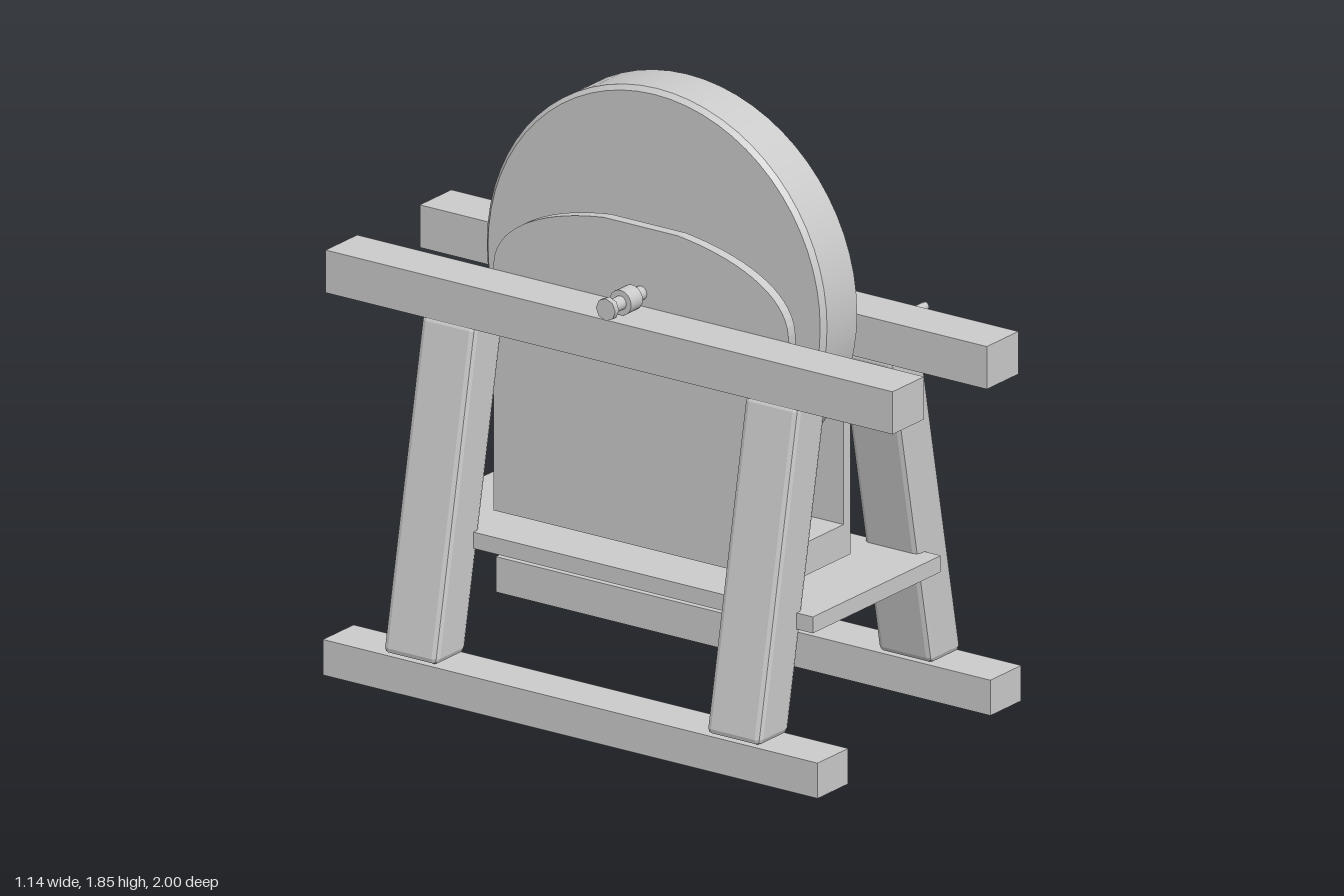
import * as THREE from 'three';
import { RoundedBoxGeometry } from 'three/addons/geometries/RoundedBoxGeometry.js';

const CX = -0.0725; // centre plane of the frame
const AXLE_Y = 1.25;

export function createModel() {
  const root = new THREE.Group();
  const mat = new THREE.MeshStandardMaterial({ color: 0xcccccc });

  const add = (name, geo, x = 0, y = 0, z = 0) => {
    const mesh = new THREE.Mesh(geo, mat);
    mesh.name = name;
    mesh.position.set(x, y, z);
    root.add(mesh);
    return mesh;
  };
  const box = (name, w, h, d, x, y, z = 0) => add(name, new THREE.BoxGeometry(w, h, d), x, y, z);
  // Cylinder along x between two x positions
  const rod = (name, r, x0, x1, y, z, sides = 20) =>
    add(name, new THREE.CylinderGeometry(r, r, x1 - x0, sides).rotateZ(-Math.PI / 2), (x0 + x1) / 2, y, z);

  // Chamfered leg, sheared so it leans in toward the rail
  const legGeometry = (side) => {
    const h = 0.98;
    const geo = new RoundedBoxGeometry(0.148, h, 0.19, 1, 0.018);
    const p = geo.attributes.position;
    for (let i = 0; i < p.count; i++) {
      p.setX(i, p.getX(i) - side * 0.196 * (p.getY(i) + h / 2));
    }
    geo.computeVertexNormals();
    return geo;
  };

  // Trough wall: straight sides with a shallow arched top
  const wallShape = new THREE.Shape();
  wallShape.moveTo(-0.52, 0.475);
  wallShape.lineTo(0.52, 0.475);
  wallShape.lineTo(0.52, 1.23);
  wallShape.bezierCurveTo(0.51, 1.36, 0.32, 1.43, 0.13, 1.452);
  wallShape.lineTo(-0.13, 1.452);
  wallShape.bezierCurveTo(-0.32, 1.43, -0.51, 1.36, -0.52, 1.23);
  wallShape.closePath();
  const wallGeo = new THREE.ExtrudeGeometry(wallShape, { depth: 0.034, bevelEnabled: false, curveSegments: 16 });
  wallGeo.translate(0, 0, -0.017).rotateY(Math.PI / 2);

  // Frame: both sides mirrored about the centre plane
  for (const side of [-1, 1]) {
    const label = side > 0 ? 'left' : 'right';
    box(label + 'Foot', 0.15, 0.108, 1.745, CX + side * 0.4225, 0.054);
    box(label + 'Rail', 0.154, 0.13, 2, CX + side * 0.23, 1.146);
    for (const z of [-0.57, 0.57]) {
      add(label + (z > 0 ? 'FrontLeg' : 'BackLeg'), legGeometry(side), CX + side * 0.4225, 0.11 + 0.49, z);
    }
    add(label + 'TroughWall', wallGeo, CX + side * 0.135);
  }
  box('shelf', 0.625, 0.05, 1.445, CX, 0.441);
  box('troughBottom', 0.24, 0.1, 1.04, CX, 0.525);

  // Grinding wheel with small bevelled rims
  const R = 0.6, H = 0.0875, B = 0.014;
  const P = (r, y) => new THREE.Vector2(r, y);
  const rings = [[P(0, -H), P(R - B, -H)], [P(R - B, -H), P(R, -H + B)], [P(R, -H + B), P(R, H - B)],
    [P(R, H - B), P(R - B, H)], [P(R - B, H), P(0, H)]];
  const wheel = new THREE.Group();
  wheel.name = 'grindstone';
  for (const ring of rings) {
    const part = new THREE.Mesh(new THREE.LatheGeometry(ring, 64), mat);
    part.name = 'grindstoneSurface';
    wheel.add(part);
  }
  wheel.rotation.z = -Math.PI / 2;
  wheel.position.set(CX, AXLE_Y, 0);
  root.add(wheel);
  rod('hubPlate', 0.23, 0.01, 0.035, AXLE_Y, 0, 48);

  // Axle, bearings and end fittings
  rod('axle', 0.021, -0.39, 0.405, AXLE_Y, 0);
  rod('axleCap', 0.034, -0.397, -0.378, AXLE_Y, 0, 8);
  rod('axleNut', 0.021, 0.398, 0.425, AXLE_Y, 0, 8);
  rod('rightBearing', 0.038, -0.325, -0.268, AXLE_Y, 0);
  rod('leftBearing', 0.038, 0.122, 0.178, AXLE_Y, 0);

  // Crank: round eye and a curved tapering arm, drawn with z to the left
  const crankShape = new THREE.Shape();
  crankShape.moveTo(0.036, 1.25);
  crankShape.absarc(0, 1.25, 0.038, 0, Math.PI, false);
  crankShape.bezierCurveTo(-0.038, 1.21, -0.08, 1.17, -0.13, 1.135);
  crankShape.bezierCurveTo(-0.22, 1.07, -0.32, 1.06, -0.44, 1.078);
  crankShape.lineTo(-0.448, 1.06);
  crankShape.bezierCurveTo(-0.33, 1.025, -0.22, 1.04, -0.115, 1.115);
  crankShape.bezierCurveTo(-0.04, 1.16, 0.015, 1.2, 0.036, 1.25);
  const crankGeo = new THREE.ExtrudeGeometry(crankShape, { depth: 0.04, bevelEnabled: false, curveSegments: 14 });
  crankGeo.rotateY(Math.PI / 2);
  add('crankArm', crankGeo, 0.36);
  rod('crankHandle', 0.013, 0.37, 0.57, 1.065, 0.43, 12);

  return root;
}
